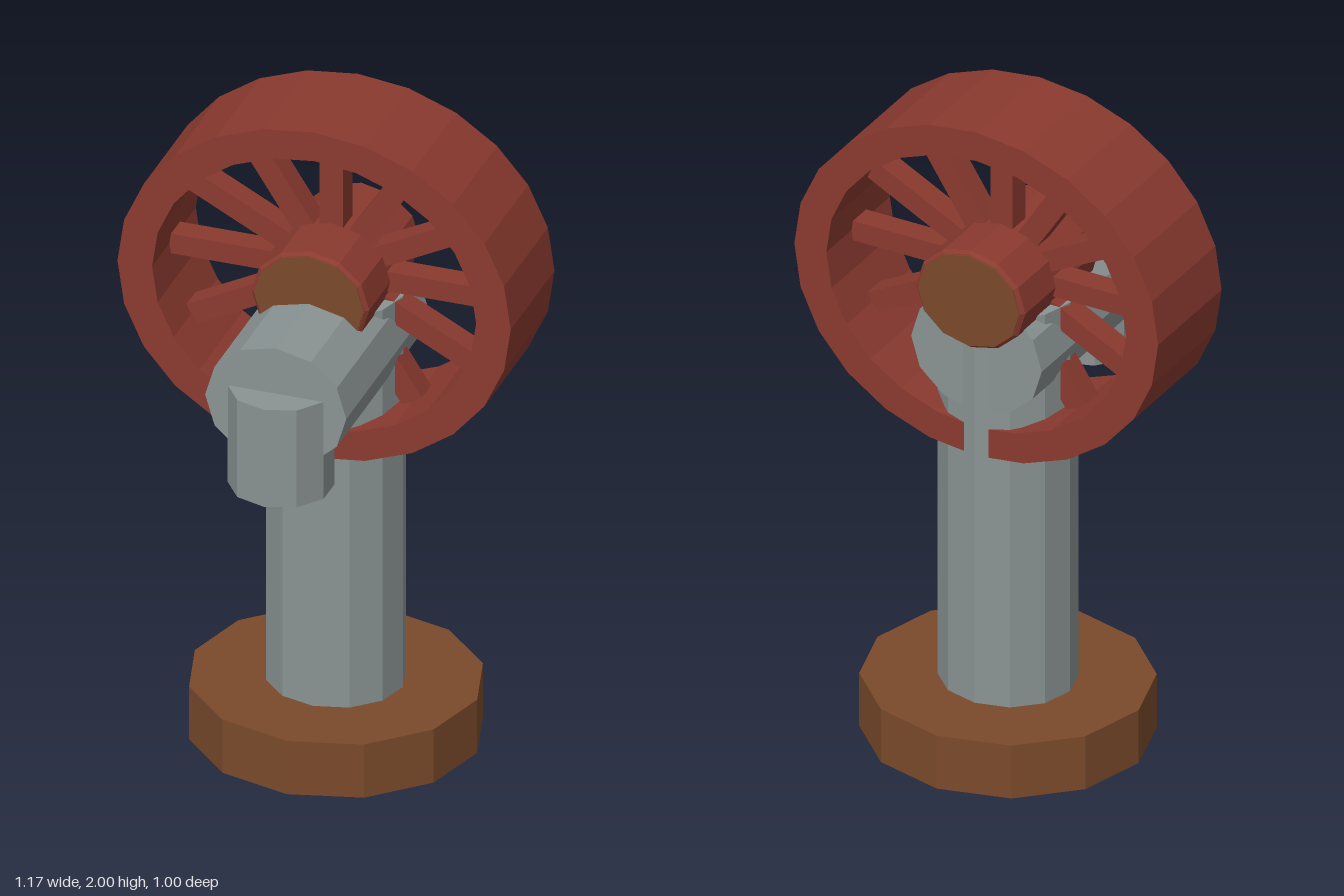
import * as THREE from 'three';

const mat = (color) => new THREE.MeshStandardMaterial({ color, flatShading: true });
const AXIS_Z = -0.096; // depth of the post and wheel axis

export function createModel() {
  const red = mat(0x8b3a2f), brown = mat(0x7a4a2b), grey = mat(0x8a9393);
  const model = new THREE.Group();

  const add = (parent, name, geometry, material, x = 0, y = 0, z = 0) => {
    const mesh = new THREE.Mesh(geometry, material);
    mesh.name = name;
    mesh.position.set(x, y, z);
    parent.add(mesh);
    return mesh;
  };
  // Upright cylinder with an oval footprint
  const oval = (rx, rz, height, sides) =>
    new THREE.CylinderGeometry(1, 1, height, sides).scale(rx, 1, rz);
  // Ring or drum turned about the z axis
  const turned = (profile, sides) =>
    new THREE.LatheGeometry(profile.map(([r, d]) => new THREE.Vector2(r, d)), sides).rotateX(Math.PI / 2);

  // Foot and post
  add(model, 'base', oval(0.42, 0.405, 0.17, 12), brown, 0, 0.085, AXIS_Z);
  add(model, 'post', oval(0.2, 0.19, 1.25, 12), grey, 0, 0.795, AXIS_Z);

  // Horizontal pipe and the spout hanging from its front end
  const pipe = new THREE.CylinderGeometry(1, 1, 0.675, 12).rotateX(Math.PI / 2).scale(0.21, 0.187, 1);
  add(model, 'pipe', pipe, grey, 0, 1.288, 0.0625);
  add(model, 'spout', oval(0.15, 0.145, 0.31, 10), grey, 0, 1.175, 0.355);

  // Spoked wheel, slightly wider than tall
  const wheel = new THREE.Group();
  wheel.name = 'wheel';
  wheel.position.set(0, 1.48, AXIS_Z);
  wheel.scale.y = 0.889;
  model.add(wheel);

  const rimOuter = 0.585, rimInner = 0.482, rimHalf = 0.18;
  add(wheel, 'rim', turned([
    [rimInner, -rimHalf], [rimOuter, -rimHalf], [rimOuter, rimHalf], [rimInner, rimHalf], [rimInner, -rimHalf],
  ], 24), red);

  add(wheel, 'hub', turned([
    [0, -0.22], [0.165, -0.22], [0.175, -0.21], [0.175, 0.21], [0.165, 0.22], [0, 0.22],
  ], 12), red);
  for (const side of [-1, 1]) {
    const cap = new THREE.CylinderGeometry(0.163, 0.163, 0.02, 12).rotateX(Math.PI / 2);
    add(wheel, 'hubCap', cap, brown, 0, 0, side * 0.214);
  }

  for (let i = 0; i < 12; i++) {
    const spoke = new THREE.BoxGeometry(0.07, 0.36, 0.075).translate(0, 0.31, 0);
    add(wheel, 'spoke', spoke.rotateZ((i * Math.PI) / 6), red);
  }

  return model;
}
